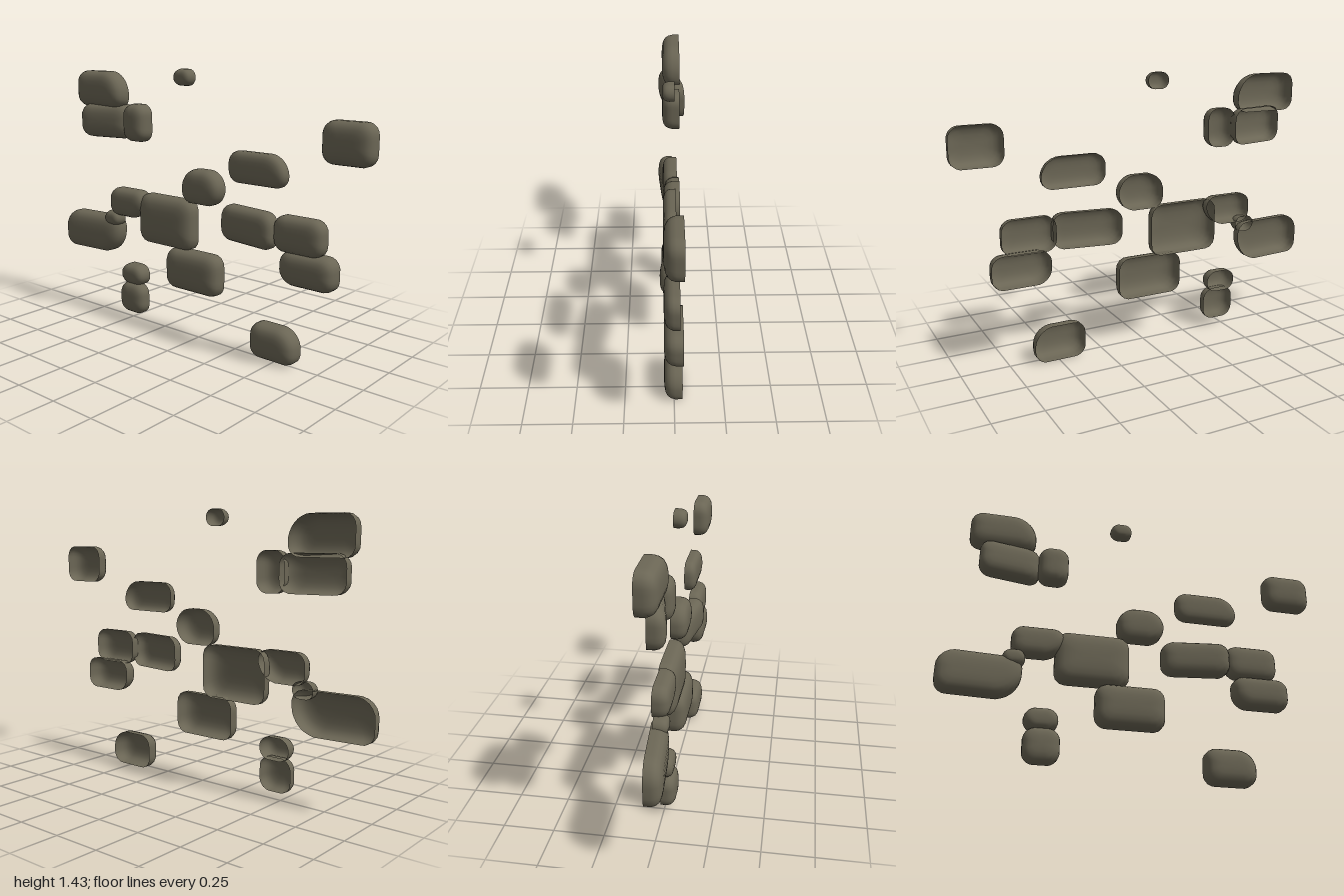
import * as THREE from 'three';

// Shell profile from the open back rim to the front: [depth fraction, inset fraction]
const PROFILE = [[0, 0], [0.4, 0], [0.62, 0.05], [0.8, 0.15], [0.92, 0.32], [0.98, 0.55], [1, 0.8]];

// Stones: x0, x1, y0, y1, back z, and what differs from the common stone
// (front z, z slope along x, larger cuts at the tl, tr, br, bl corners)
const STONES = [
  [-0.9, -0.55, 1.2, 1.4, -0.045, { tr: 0.11 }],
  [-0.84, -0.52, 1.03, 1.22, -0.04, { slope: -0.2 }],
  [-0.53, -0.37, 1.025, 1.23, -0.042],
  [-0.145, -0.03, 1.345, 1.43, -0.01],
  [0.74, 1, 1.03, 1.23, -0.035],
  [0.215, 0.555, 0.885, 1.045, -0.01, { tr: 0.09 }],
  [-0.1, 0.15, 0.735, 0.92, -0.035, { tl: 0.08, tr: 0.08, br: 0.08 }],
  [-0.42, -0.035, 0.47, 0.745, -0.04],
  [-0.645, -0.375, 0.592, 0.752, -0.03, { br: 0.1 }],
  [-0.685, -0.57, 0.53, 0.615, -0.02],
  [-1, -0.58, 0.36, 0.58, -0.02, { front: 0.065, slope: -0.08, tl: 0.08, br: 0.12 }],
  [-0.21, 0.15, 0.253, 0.475, -0.03, { front: 0.06 }],
  [-0.56, -0.39, 0.205, 0.32, -0.03],
  [-0.56, -0.38, 0.04, 0.215, -0.01, { front: 0.062 }],
  [0.145, 0.5, 0.575, 0.76, -0.03, { slope: 0.15 }],
  [0.49, 0.77, 0.58, 0.76, -0.025],
  [0.525, 0.83, 0.42, 0.59, -0.04, { bl: 0.07 }],
  [0.355, 0.625, 0, 0.185, -0.042, { tr: 0.085 }],
];

// Counter-clockwise outline with each corner cut and softened
function outline(w, h, { tl, tr, br, bl }) {
  // Common cut: a share of the short side, so small stones become pebbles
  const common = Math.min(0.05, Math.min(w, h) * 0.42);
  const corners = [[1, -1, br], [1, 1, tr], [-1, 1, tl], [-1, -1, bl]];
  const path = new THREE.Path();
  let first = null;
  for (const [sx, sy, cut = common] of corners) {
    const x = sx * w / 2, y = sy * h / 2;
    const onSide = [x, y - sy * cut], onEnd = [x - sx * cut, y];
    const [a, b] = sx === sy ? [onSide, onEnd] : [onEnd, onSide];
    if (first) path.lineTo(...a);
    else path.moveTo(...(first = a));
    path.quadraticCurveTo(x - sx * cut * 0.18, y - sy * cut * 0.18, ...b);
  }
  path.lineTo(...first);
  return path.getSpacedPoints(40).slice(0, 40);
}

// Smooth domed shell, open at the back
function stoneGeometry(w, h, depth, slope, cuts) {
  const pts = outline(w, h, cuts);
  const n = pts.length, pos = [], index = [];
  const m = Math.min(w, h);
  for (const [t, inset] of PROFILE) {
    const kx = 1 - inset * m / w, ky = 1 - inset * m / h;
    for (const p of pts) pos.push(p.x * kx, p.y * ky, t * depth + p.x * kx * slope);
  }
  pos.push(0, 0, depth);
  const last = PROFILE.length - 1;
  for (let i = 0; i < n; i++) {
    const j = (i + 1) % n;
    for (let r = 0; r < last; r++) {
      const a = r * n + i, b = r * n + j;
      index.push(a, b, b + n, a, b + n, a + n);
    }
    index.push(last * n + i, last * n + j, (last + 1) * n);
  }
  const g = new THREE.BufferGeometry();
  g.setAttribute('position', new THREE.Float32BufferAttribute(pos, 3));
  g.setIndex(index);
  g.computeVertexNormals();
  return g;
}

export function createModel() {
  const group = new THREE.Group();
  group.name = 'wallStones';
  const stone = new THREE.MeshStandardMaterial({ color: 0x6b6655, side: THREE.DoubleSide });
  stone.name = 'grey brown stone';
  STONES.forEach(([x0, x1, y0, y1, back, { front = 0.05, slope = 0, ...cuts } = {}], i) => {
    const mesh = new THREE.Mesh(stoneGeometry(x1 - x0, y1 - y0, front - back, slope, cuts), stone);
    mesh.position.set((x0 + x1) / 2, (y0 + y1) / 2, back);
    mesh.name = `stone${i + 1}`;
    group.add(mesh);
  });
  return group;
}
